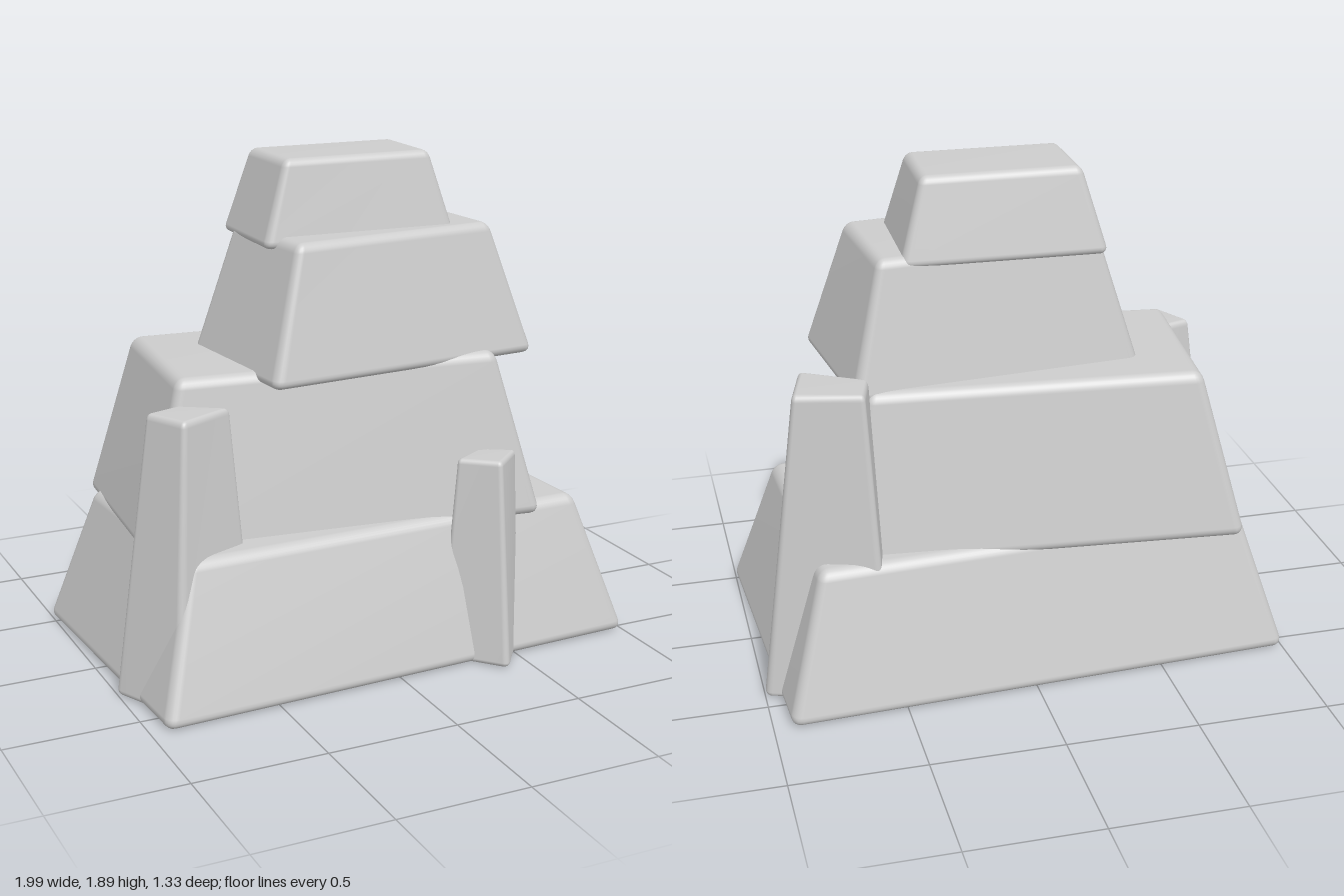
import * as THREE from 'three';
import { mergeVertices } from 'three/addons/utils/BufferGeometryUtils.js';
import { RoundedBoxGeometry } from 'three/addons/geometries/RoundedBoxGeometry.js';

// Rounded block with free [x, z] corners at the bottom and top.
// Corner order: back left, back right, front right, front left.
function block(name, material, radius, y0, y1, bottom, top) {
  const mid = bottom.map((c, i) => [(c[0] + top[i][0]) / 2, (c[1] + top[i][1]) / 2]);
  const side = (a, b) => Math.hypot(mid[a][0] - mid[b][0], mid[a][1] - mid[b][1]);
  const w = (side(0, 1) + side(3, 2)) / 2;
  const d = (side(0, 3) + side(1, 2)) / 2;
  const h = y1 - y0;

  let geometry = new RoundedBoxGeometry(w, h, d, 3, radius);
  geometry.deleteAttribute('uv');
  geometry.deleteAttribute('normal');
  geometry = mergeVertices(geometry, 1e-4);

  const p = geometry.attributes.position;
  for (let i = 0; i < p.count; i++) {
    const u = p.getX(i) / w + 0.5;
    const v = p.getY(i) / h + 0.5;
    const t = p.getZ(i) / d + 0.5;
    const weights = [(1 - u) * (1 - t), u * (1 - t), u * t, (1 - u) * t];
    let x = 0, z = 0;
    weights.forEach((k, c) => {
      x += k * (bottom[c][0] * (1 - v) + top[c][0] * v);
      z += k * (bottom[c][1] * (1 - v) + top[c][1] * v);
    });
    p.setXYZ(i, x, y0 + v * h, z);
  }
  geometry.computeVertexNormals();
  const mesh = new THREE.Mesh(geometry, material);
  mesh.name = name;
  return mesh;
}

export function createModel() {
  const group = new THREE.Group();
  group.name = 'rockStack';
  const stone = new THREE.MeshStandardMaterial({ color: 0xcccccc });
  stone.name = 'stone grey';

  const parts = [
    // Stacked slabs, bottom to top
    ['baseSlab', 0.04, 0, 0.555,
      [[-1.01, -0.58], [0.94, -0.68], [1.01, 0.55], [-0.95, 0.64]],
      [[-0.84, -0.44], [0.79, -0.54], [0.83, 0.42], [-0.79, 0.47]]],
    ['lowerSlab', 0.04, 0.51, 1.15,
      [[-0.82, -0.58], [0.73, -0.45], [0.66, 0.47], [-0.89, 0.31]],
      [[-0.66, -0.46], [0.57, -0.36], [0.5, 0.36], [-0.73, 0.23]]],
    ['middleSlab', 0.035, 1.11, 1.615,
      [[-0.49, -0.26], [0.62, -0.36], [0.7, 0.31], [-0.43, 0.41]],
      [[-0.34, -0.18], [0.5, -0.26], [0.54, 0.22], [-0.29, 0.31]]],
    ['topSlab', 0.03, 1.57, 1.89,
      [[-0.35, -0.28], [0.42, -0.26], [0.41, 0.2], [-0.36, 0.17]],
      [[-0.26, -0.21], [0.33, -0.2], [0.32, 0.14], [-0.26, 0.13]]],
    // Upright stones leaning on the slabs
    ['tallPillar', 0.025, 0, 1.2,
      [[0.54, -0.58], [1.01, -0.44], [0.88, -0.05], [0.5, -0.36]],
      [[0.6, -0.48], [0.85, -0.42], [0.79, -0.19], [0.56, -0.33]]],
    ['sidePillar', 0.025, 0, 1.06,
      [[-0.72, 0.12], [-0.49, 0.4], [-0.87, 0.56], [-1.01, 0.25]],
      [[-0.74, 0.24], [-0.57, 0.34], [-0.79, 0.45], [-0.87, 0.28]]],
    ['frontPillar', 0.02, 0, 0.785,
      [[0.4, 0.3], [0.58, 0.44], [0.4, 0.68], [0.21, 0.46]],
      [[0.42, 0.38], [0.54, 0.45], [0.41, 0.57], [0.28, 0.46]]],
  ];
  for (const [name, radius, y0, y1, bottom, top] of parts) {
    group.add(block(name, stone, radius, y0, y1, bottom, top));
  }
  return group;
}
